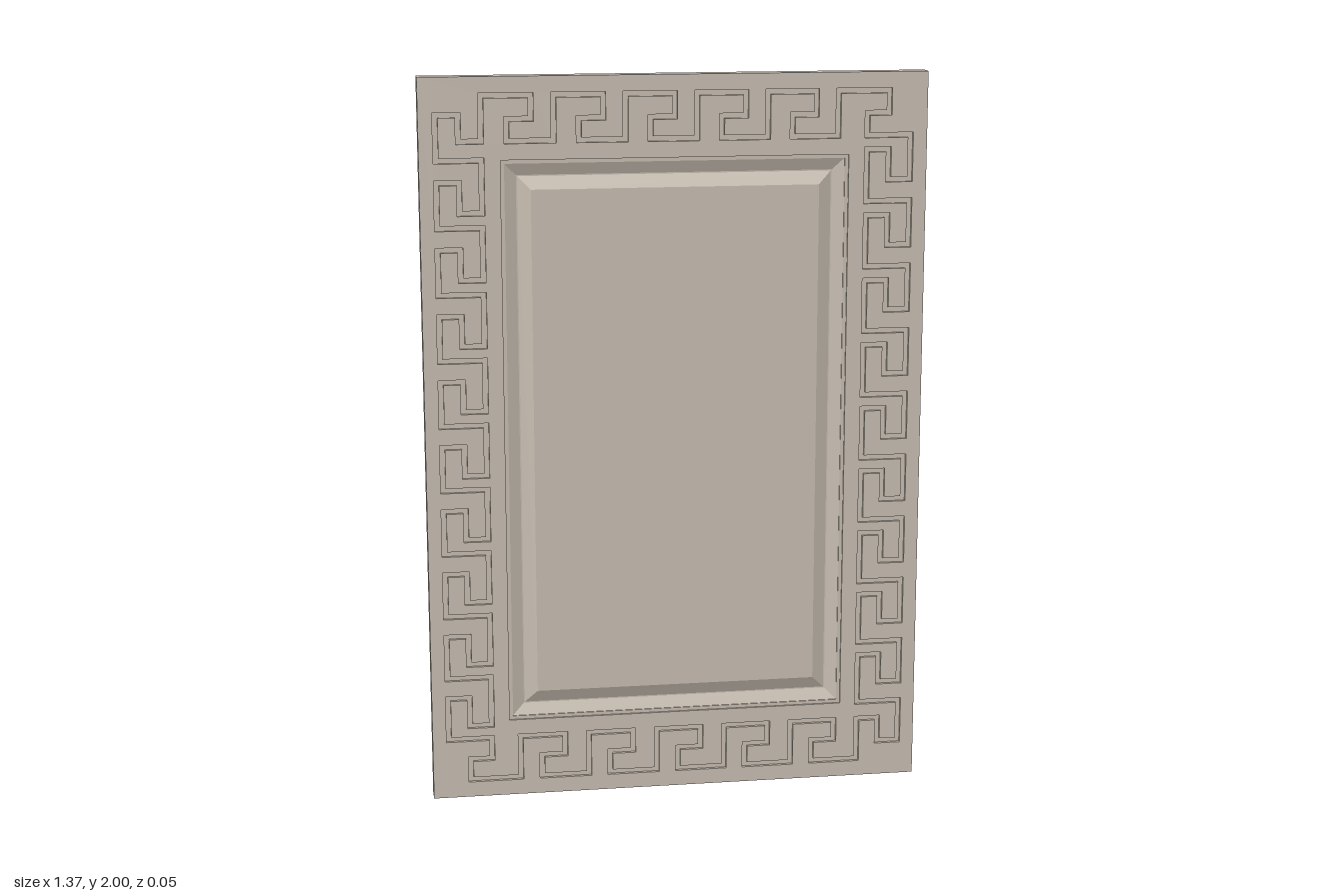
import * as THREE from 'three';

const W = 0.685, H = 1, CY = 1;              // half width, half height, centre height
const BACK = -0.025, FLOOR = 0.016, FRONT = 0.025;
const GROOVE = 0.007;                        // half width of the fret groove
const RX = 0.47, RY = 0.78;                  // half size of the panel opening

// Half of the fret centre line: down the left column, then along the bottom
function halfFret() {
  const pts = [[-0.64, 1.9]];
  const out = 0.64, inn = 0.52, mid = 0.58;
  for (let k = 0; k < 9; k++) {
    const y = 1.78 - 0.179 * k;
    pts.push([-out, y], [-inn, y], [-inn, y - 0.14], [-mid, y - 0.14], [-mid, y - 0.058], [-out, y - 0.058]);
  }
  pts.push([-out, 0.17], [-inn, 0.17], [-inn, 0.11], [-mid, 0.11], [-mid, 0.05]);
  for (let k = 0; k < 5; k++) {
    const x = -0.44 + 0.192 * k;
    pts.push([x, 0.05], [x, 0.17], [x + 0.125, 0.17], [x + 0.125, 0.112], [x + 0.06, 0.112], [x + 0.06, 0.05]);
  }
  pts.push([0.52, 0.05], [0.52, 0.17], [mid, 0.17], [mid, 0.1]);
  return pts;
}

// Mitred offset of a closed counter-clockwise loop; positive d moves outward
function offsetLoop(pts, d) {
  const n = pts.length;
  const normal = (a, b) => {
    const dx = b[0] - a[0], dy = b[1] - a[1], l = Math.hypot(dx, dy);
    return [dy / l, -dx / l];
  };
  return pts.map((p, i) => {
    const n1 = normal(pts[(i + n - 1) % n], p), n2 = normal(p, pts[(i + 1) % n]);
    const s = d / (1 + n1[0] * n2[0] + n1[1] * n2[1]);
    return new THREE.Vector2(p[0] + (n1[0] + n2[0]) * s, p[1] + (n1[1] + n2[1]) * s);
  });
}

const rect = (x, y) => [[-x, CY - y], [x, CY - y], [x, CY + y], [-x, CY + y]]
  .map(p => new THREE.Vector2(...p));

function plate(outline, hole, z0, z1) {
  const shape = new THREE.Shape(outline);
  shape.holes.push(new THREE.Path(hole));
  const g = new THREE.ExtrudeGeometry(shape, { depth: z1 - z0, bevelEnabled: false });
  return g.translate(0, 0, z0);
}

// Nested rectangles [inset, z] joined by flat strips and closed in the middle
function steppedPanel(rings) {
  const pos = [];
  const corners = ([inset, z]) => rect(RX - inset, RY - inset).map(p => [p.x, p.y, z]);
  const quad = (a, b, c, d) => pos.push(...a, ...b, ...c, ...a, ...c, ...d);
  for (let r = 0; r + 1 < rings.length; r++) {
    const o = corners(rings[r]), i = corners(rings[r + 1]);
    for (let k = 0; k < 4; k++) {
      const m = (k + 1) % 4;
      quad(o[k], o[m], i[m], i[k]);
    }
  }
  quad(...corners(rings[rings.length - 1]));
  const g = new THREE.BufferGeometry();
  g.setAttribute('position', new THREE.Float32BufferAttribute(pos, 3));
  g.computeVertexNormals();
  return g;
}

export function createModel() {
  const group = new THREE.Group();
  const material = new THREE.MeshStandardMaterial({ color: 0xc8beb2 });
  const add = (name, geometry) => {
    const mesh = new THREE.Mesh(geometry, material);
    mesh.name = name;
    group.add(mesh);
  };

  // Closed fret line: the half and its half-turn copy
  const half = halfFret();
  // the copy starts where the half ends, at the opposite corner
  const fret = [...half.slice(0, -1), [0.58, 0.1], ...half.map(([x, y]) => [-x, 2 * CY - y])];
  fret.pop();
  fret.push([-0.58, 1.9]);

  // Back board and frame body up to the groove floor
  const board = new THREE.BoxGeometry(2 * W, 2 * H, 0.02);
  add('backBoard', board.translate(0, CY, BACK + 0.01));
  add('frameBody', plate(rect(W, H), rect(RX, RY), BACK + 0.02, FLOOR));

  // Raised face either side of the fret groove
  add('outerFace', plate(rect(W, H), offsetLoop(fret, GROOVE), FLOOR, FRONT));
  add('innerFace', plate(offsetLoop(fret, -GROOVE), rect(RX, RY), FLOOR, FRONT));

  // Moulding step, sloped channel and bevelled centre panel
  add('centrePanel', steppedPanel([
    [0, 0.02], [0.01, 0.02], [0.01, 0.017], [0.042, 0.004], [0.045, 0.004], [0.08, 0.02],
  ]));
  return group;
}
